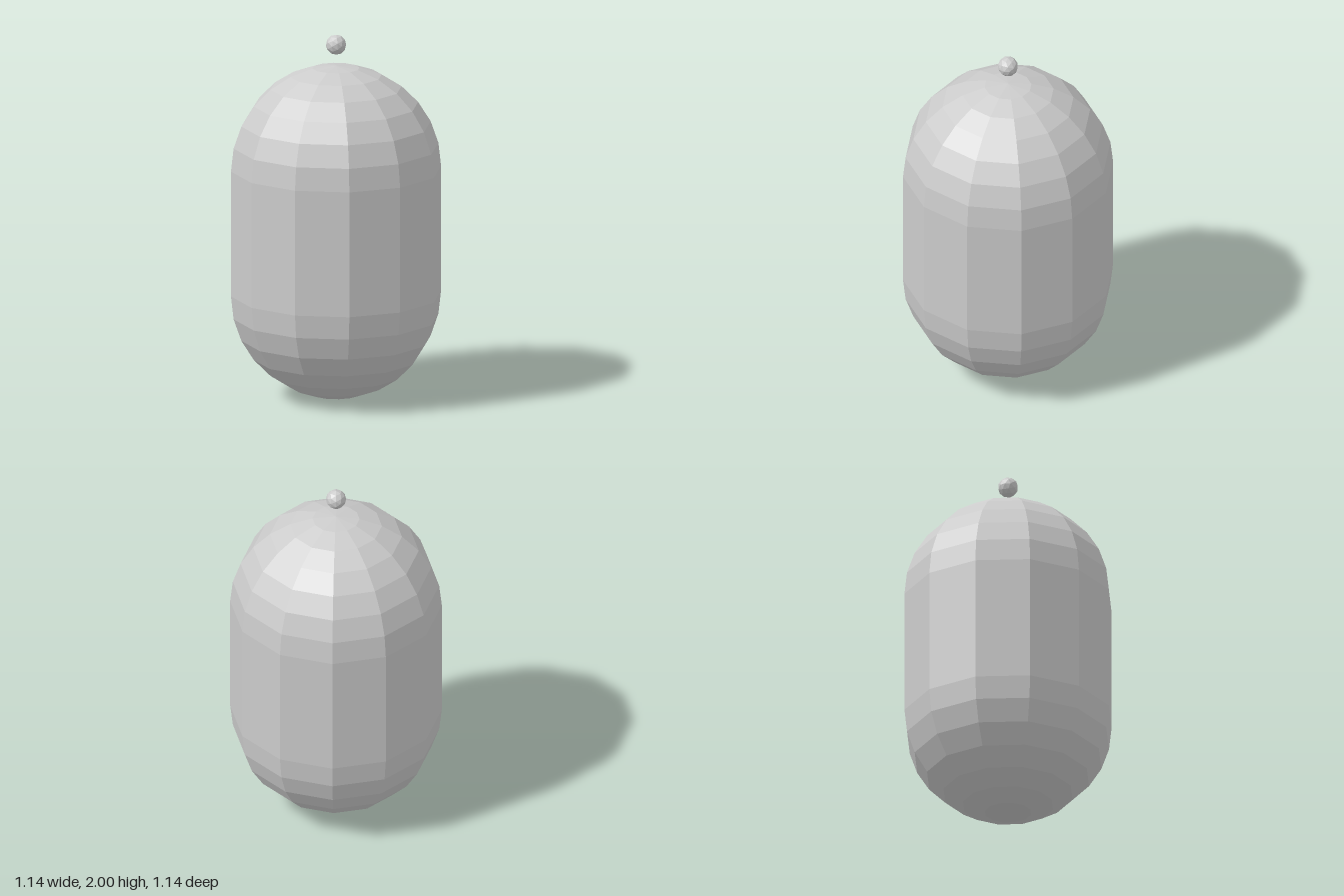
import * as THREE from 'three';

const RADIUS = 0.57;   // body and cap radius
const STRAIGHT = 0.69; // length of the straight middle section
const KNOB = 0.055;    // radius of the small ball

export function createModel() {
  const group = new THREE.Group();
  const material = new THREE.MeshStandardMaterial({ color: 0xcccccc, flatShading: true });

  const addPart = (name, geometry, y) => {
    const mesh = new THREE.Mesh(geometry, material);
    mesh.name = name;
    mesh.position.y = y;
    group.add(mesh);
  };

  // twelve-sided capsule body with seven steps in each cap
  addPart('body', new THREE.CapsuleGeometry(RADIUS, STRAIGHT, 7, 12), RADIUS + STRAIGHT / 2);

  // faceted ball floating just above the top
  addPart('topBall', new THREE.IcosahedronGeometry(KNOB, 1), 2 - KNOB);

  return group;
}
